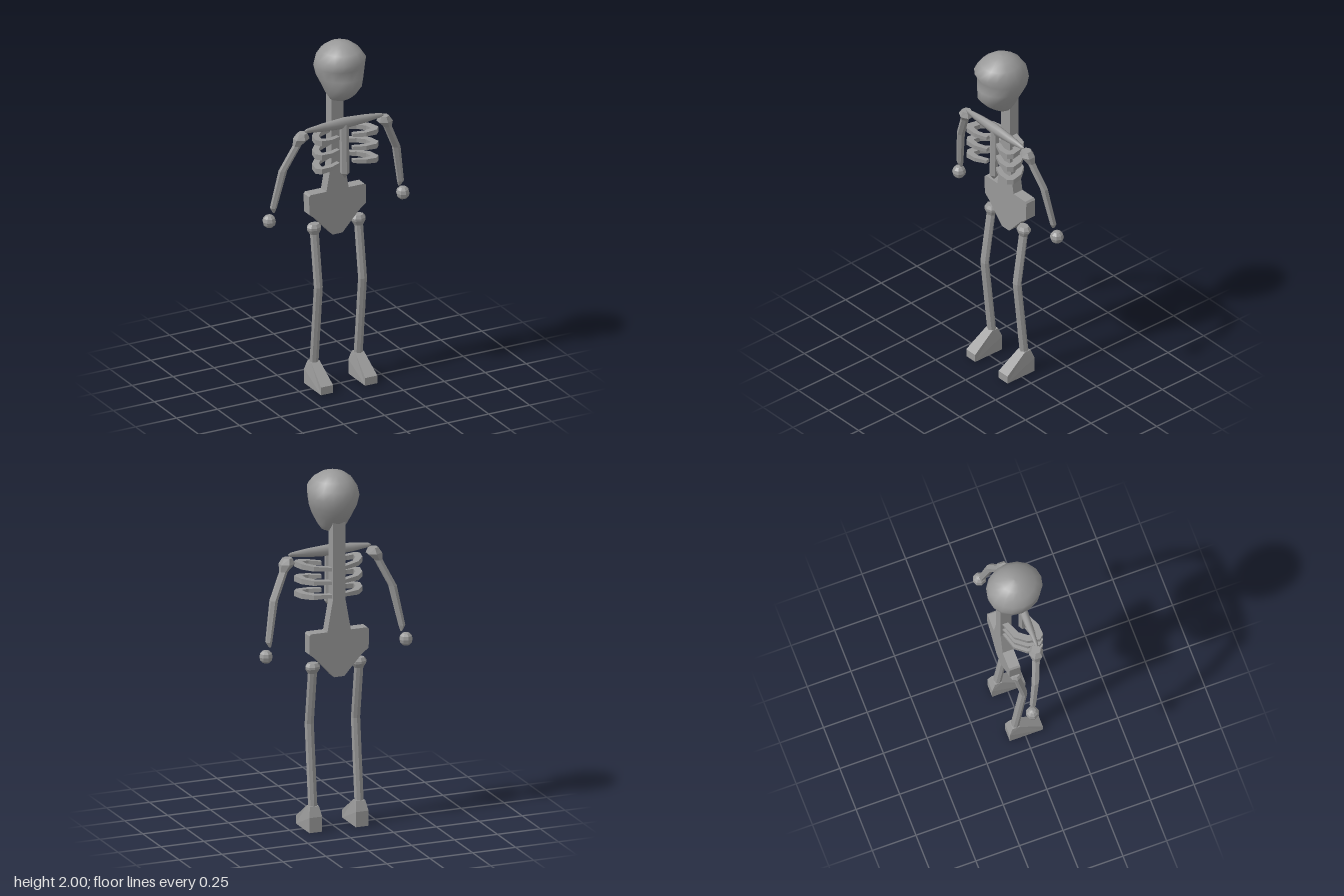
import * as THREE from 'three';

const bone = new THREE.MeshStandardMaterial({ color: 0x999999 });
bone.name = 'bone grey';

// Skin over stacked elliptical rings, bottom to top: [y, centreX, radiusX, centreZ, radiusZ]
function loft(rings, sides, smooth = false) {
  const pos = [], idx = [], n = sides;
  for (const [y, cx, rx, cz, rz] of rings) {
    for (let j = 0; j < n; j++) {
      const a = (j / n) * Math.PI * 2;
      pos.push(cx + rx * Math.sin(a), y, cz + rz * Math.cos(a));
    }
  }
  const last = rings.length - 1;
  for (let i = 0; i < last; i++) {
    for (let j = 0; j < n; j++) {
      const a = i * n + j, b = i * n + (j + 1) % n;
      idx.push(a, b, b + n, a, b + n, a + n);
    }
  }
  for (let j = 1; j < n - 1; j++) {
    idx.push(0, j + 1, j, last * n, last * n + j, last * n + j + 1);
  }
  let g = new THREE.BufferGeometry();
  g.setAttribute('position', new THREE.Float32BufferAttribute(pos, 3));
  g.setIndex(idx);
  if (!smooth) g = g.toNonIndexed();
  g.computeVertexNormals();
  return g;
}

function extrude(points, depth) {
  const shape = new THREE.Shape(points.map(([x, y]) => new THREE.Vector2(x, y)));
  return new THREE.ExtrudeGeometry(shape, { depth, bevelEnabled: false });
}

export function createModel() {
  const model = new THREE.Group();
  model.name = 'skeleton';
  const add = (name, geometry) => {
    const mesh = new THREE.Mesh(geometry, bone);
    mesh.name = name;
    model.add(mesh);
    return mesh;
  };

  // Skull with brow ridge, recessed face and tapering jaw: [y, half width, back z, front z]
  const skull = [
    [1.662, 0.03, -0.03, 0.03], [1.675, 0.062, -0.05, 0.055], [1.705, 0.082, -0.08, 0.095],
    [1.76, 0.106, -0.122, 0.143], [1.81, 0.128, -0.146, 0.135], [1.865, 0.14, -0.153, 0.128],
    [1.912, 0.134, -0.142, 0.154], [1.955, 0.106, -0.112, 0.115], [1.985, 0.066, -0.068, 0.066],
    [1.997, 0.03, -0.03, 0.03], [2.0, 0.002, -0.002, 0.002],
  ];
  add('skull', loft(skull.map(([y, w, b, f]) => [y, 0, w, (b + f) / 2, (f - b) / 2]), 16, true));

  // Spine and pelvis share one flat outline
  const half = [[0.03, 0.862], [0.13, 0.972], [0.172, 1.005], [0.174, 1.11], [0.165, 1.12],
    [0.068, 1.12], [0.036, 1.3], [0.036, 1.77]];
  const outline = [...half, ...half.map(([x, y]) => [-x, y]).reverse()];
  add('spineAndPelvis', extrude(outline, 0.062)).position.z = -0.092;

  // Collar bone spindle
  const spindle = [[-0.24, 0.004], [-0.225, 0.013], [-0.13, 0.025], [0, 0.034],
    [0.13, 0.025], [0.225, 0.013], [0.24, 0.004]];
  const collar = add('collarBone', loft(spindle.map(([x, r]) => [x, 0, r, 0, r * 0.75]), 8, true));
  collar.rotation.z = -Math.PI / 2;
  collar.position.set(0, 1.537, 0.042);

  // Breastbone
  add('breastbone', loft([[1.222, 0, 0.004, 0.05, 0.004], [1.25, 0, 0.026, 0.05, 0.025],
    [1.53, 0, 0.026, 0.045, 0.023]], 6));

  for (const s of [1, -1]) {
    const side = s > 0 ? 'left' : 'right';

    // Hooked ribs, drawn in plan and tilted toward the middle
    const plan = [[0.02, -0.085], [0.13, -0.05], [0.178, 0.01], [0.192, 0.075], [0.168, 0.102],
      [0.105, 0.1], [0.04, 0.07], [0.045, 0.045], [0.11, 0.07], [0.15, 0.068],
      [0.145, 0.025], [0.11, -0.018], [0.02, -0.055]];
    [[1.47, 0.05], [1.39, 0], [1.31, -0.05]].forEach(([y, slope], i) => {
      const g = extrude(plan.map(([x, z]) => [s * x, -z]), 1).rotateX(-Math.PI / 2);
      const p = g.attributes.position;
      for (let k = 0; k < p.count; k++) {
        const x = Math.abs(p.getX(k));
        const thick = 0.016 + 0.08 * x;
        p.setY(k, y + slope * (x - 0.12) + (p.getY(k) - 0.5) * thick);
      }
      g.computeVertexNormals();
      add(side + 'Rib' + (i + 1), g);
    });

    // Arm from wrist point to shoulder knob
    add(side + 'Arm', loft([
      [1.06, s * 0.383, 0.006, -0.043, 0.006], [1.09, s * 0.388, 0.019, -0.038, 0.019],
      [1.31, s * 0.346, 0.024, -0.008, 0.022], [1.455, s * 0.276, 0.024, 0.022, 0.022],
      [1.495, s * 0.254, 0.046, 0.03, 0.041], [1.526, s * 0.25, 0.028, 0.032, 0.027],
    ], 6));

    // Round hand
    add(side + 'Hand', new THREE.SphereGeometry(0.038, 8, 6).toNonIndexed())
      .position.set(s * 0.408, 1.012, -0.048);
    model.children.at(-1).geometry.computeVertexNormals();

    // Leg bent at the knee, with a hip knob
    const x = s * 0.135;
    add(side + 'Leg', loft([
      [0.1, x, 0.027, -0.05, 0.022], [0.59, x, 0.027, 0.002, 0.021], [0.885, x, 0.027, -0.042, 0.021],
      [0.912, x, 0.043, -0.046, 0.035], [0.925, x, 0.043, -0.046, 0.035], [0.943, x, 0.03, -0.046, 0.024],
    ], 8));

    // Wedge foot, narrowing to the ankle
    const foot = extrude([[-0.1, 0], [0.09, 0], [0.09, 0.085], [0.07, 0.14], [0.03, 0.14],
      [-0.1, 0.045]], 0.074);
    foot.rotateY(Math.PI / 2).translate(-0.037, 0, 0);
    const p = foot.attributes.position;
    for (let k = 0; k < p.count; k++) {
      if (p.getY(k) > 0.12) p.setX(k, p.getX(k) * 0.72);
    }
    foot.computeVertexNormals();
    add(side + 'Foot', foot).position.x = x;
  }
  return model;
}
